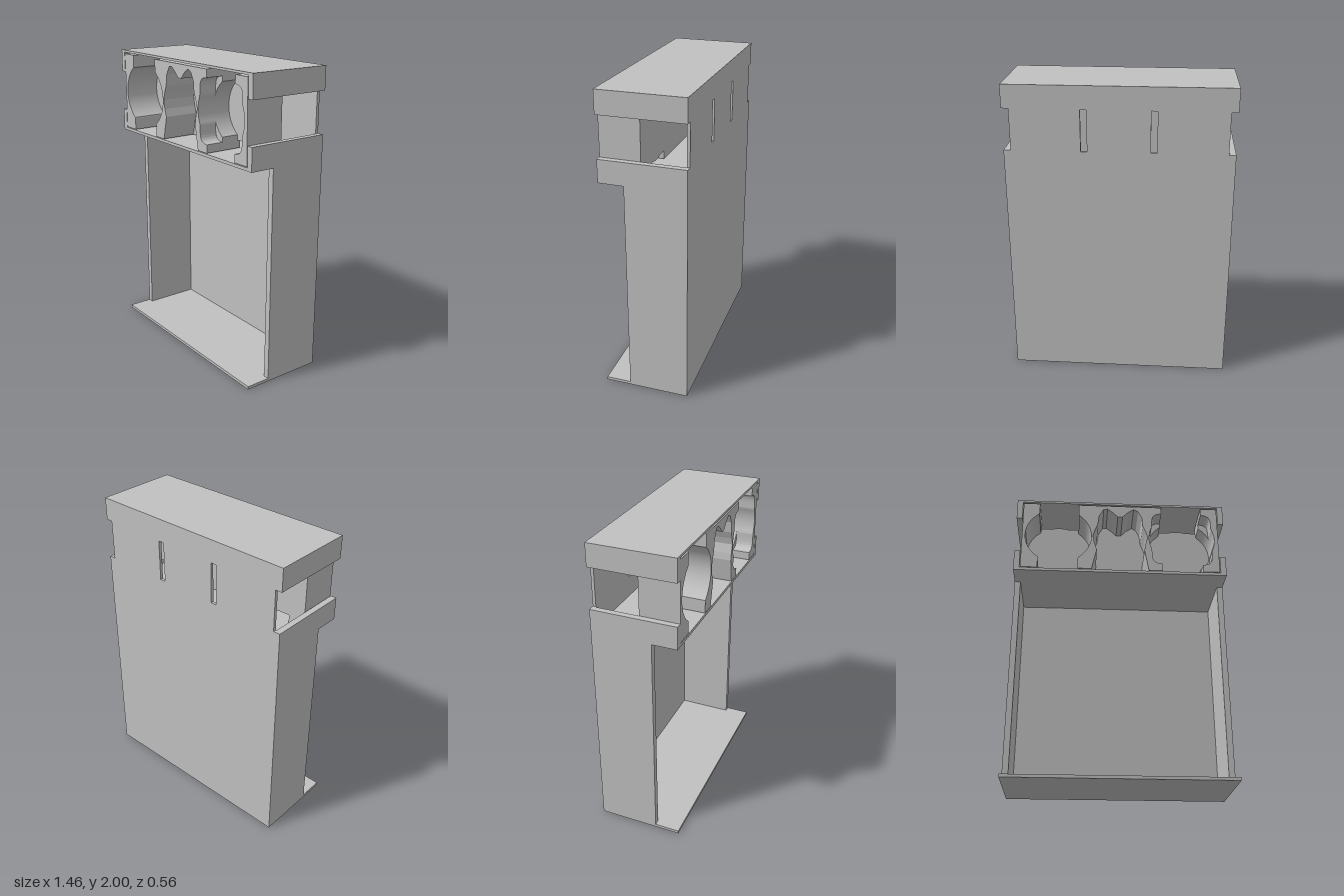
import * as THREE from 'three';

const grey = new THREE.MeshStandardMaterial({ color: 0xc0c0c0 });
grey.name = 'plain grey';

const BACK = -0.28, FRONT = 0.28, W = 0.73, WALL = 0.69, CUT = 0.685;
const WIN_LOW = 1.58, WIN_HIGH = 1.85;   // side window heights
const LOW = 1.455, HIGH = 1.975;         // holder insert heights
const CY = 1.716;                        // pocket centre height

const P = (x, y) => new THREE.Vector2(x, y);

export function createModel() {
  const root = new THREE.Group();
  root.name = 'dispenserCase';

  // Box given by its limits
  const box = (name, x0, x1, y0, y1, z0, z1) => {
    const m = new THREE.Mesh(new THREE.BoxGeometry(x1 - x0, y1 - y0, z1 - z0), grey);
    m.position.set((x0 + x1) / 2, (y0 + y1) / 2, (z0 + z1) / 2);
    m.name = name;
    root.add(m);
  };

  // Outline in the front plane, extruded from z0 to z1
  const slab = (name, points, z0, z1, holes = []) => {
    const shape = new THREE.Shape(points);
    holes.forEach(h => shape.holes.push(new THREE.Path(h)));
    const geo = new THREE.ExtrudeGeometry(shape, { depth: z1 - z0, bevelEnabled: false });
    geo.translate(0, 0, z0);
    const m = new THREE.Mesh(geo, grey);
    m.name = name;
    root.add(m);
  };

  // Bottom, shelf and top plates
  box('bottomPlate', -W, W, 0, 0.02, BACK, FRONT);
  box('shelf', -W, W, 1.43, 1.45, -0.26, FRONT);
  box('topPlate', -W, W, 1.985, 2, BACK, FRONT);

  // Side walls, with a window gap near the top
  for (const s of [-1, 1]) {
    const x0 = s > 0 ? WALL : -W, x1 = s > 0 ? W : -WALL;
    box('lowerSideWall', x0, x1, 0.02, 1.43, -0.26, 0.115);
    box('windowSill', x0, x1, 1.45, WIN_LOW, -0.26, FRONT);
    box('windowHead', x0, x1, WIN_HIGH, 1.985, -0.26, FRONT);
  }

  // Back wall with notched edges and two slits
  const slit = x => [P(x - 0.02, WIN_LOW), P(x + 0.02, WIN_LOW), P(x + 0.02, WIN_HIGH), P(x - 0.02, WIN_HIGH)];
  slab('backWall', [
    P(-W, 0.02), P(W, 0.02), P(W, WIN_LOW), P(CUT, WIN_LOW), P(CUT, WIN_HIGH), P(W, WIN_HIGH), P(W, 1.985),
    P(-W, 1.985), P(-W, WIN_HIGH), P(-CUT, WIN_HIGH), P(-CUT, WIN_LOW), P(-W, WIN_LOW),
  ], BACK, -0.26, [slit(-0.22), slit(0.22)]);

  // Rounded bite of a pocket into a block, from bottom to top;
  // square widens the round pocket with a rounded square
  const bite = (cx, side, edge, square) => {
    const pts = [];
    for (let i = 0; i <= 40; i++) {
      const t = -1.2 + 2.4 * i / 40, c = Math.cos(t), s = Math.sin(t);
      const round = 1 / Math.hypot(c / 0.23, s / 0.218);
      const boxy = (Math.abs(c / 0.21) ** 8 + Math.abs(s / 0.207) ** 8) ** (-1 / 8);
      const r = square ? Math.max(round, boxy) : round;
      const x = cx + side * r * c;
      pts.push(P(side > 0 ? Math.max(x, edge) : Math.min(x, edge), CY + r * s));
    }
    return pts;
  };
  const L = -0.434, R = 0.429;

  // Holder back plate, notched above and below the round pockets
  const notch = (x0, x1, cx, up) => {
    const y0 = up ? HIGH : LOW, k = up ? 1 : -1, pts = [P(x0, y0), P(x0, CY + k * 0.209)];
    for (let i = 0; i <= 12; i++) {
      const x = cx - 0.064 + 0.128 * i / 12;
      pts.push(P(x, CY + k * 0.218 * Math.sqrt(1 - ((x - cx) / 0.23) ** 2)));
    }
    return [...pts, P(x1, CY + k * 0.209), P(x1, y0)];
  };
  slab('holderBack', [
    P(-CUT, LOW), ...notch(-0.57, -0.295, L, false), ...notch(0.29, 0.57, R, false), P(CUT, LOW),
    P(CUT, HIGH), ...notch(0.29, 0.57, R, true).reverse(), ...notch(-0.57, -0.295, L, true).reverse(), P(-CUT, HIGH),
  ], 0.02, 0.04);

  // Left-hand grip bar
  slab('outerGrip', [
    P(-CUT, LOW), P(-0.57, LOW), ...bite(L, -1, -0.57, false), P(-0.57, HIGH), P(-CUT, HIGH),
  ], 0.04, FRONT);

  // Two-eared figure pocket, open at the bottom
  const figure = [
    [-0.2, LOW], [-0.165, 1.61], [-0.182, 1.66], [-0.193, 1.72], [-0.182, 1.765], [-0.161, 1.815],
    [-0.151, 1.89], [-0.12, 1.945], [-0.093, 1.95], [-0.055, 1.92], [-0.02, 1.885], [0.014, 1.885],
    [0.055, 1.928], [0.093, 1.953], [0.125, 1.935], [0.15, 1.885], [0.156, 1.815], [0.177, 1.765],
    [0.188, 1.72], [0.172, 1.66], [0.166, 1.615], [0.194, LOW],
  ].map(p => P(...p));

  // Centre block and right grip: round pocket deep down, squared pocket in front
  for (const [z0, z1, square] of [[0.04, 0.16, false], [0.16, FRONT, true]]) {
    slab('centreBlock', [
      P(-0.295, LOW), ...figure, P(0.29, LOW), ...bite(R, -1, 0.29, square),
      P(0.29, HIGH), P(-0.295, HIGH), ...bite(L, 1, -0.295, false).reverse(),
    ], z0, z1);
    slab('outerGrip', [
      P(0.57, LOW), P(CUT, LOW), P(CUT, HIGH), P(0.57, HIGH), ...bite(R, 1, 0.57, square).reverse(),
    ], z0, z1);
  }

  return root;
}
